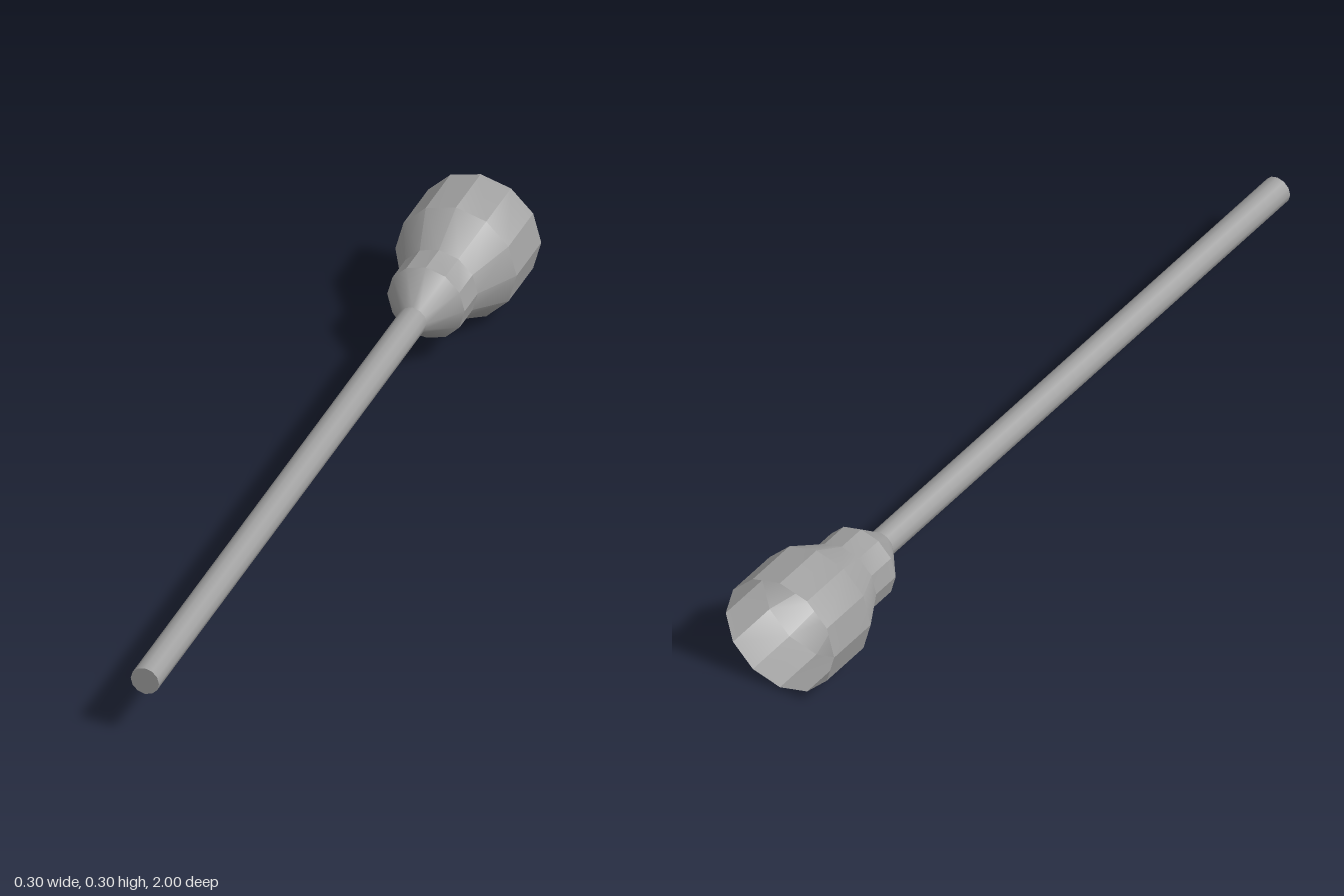
import * as THREE from 'three';
import { toCreasedNormals } from 'three/addons/utils/BufferGeometryUtils.js';

const SIDES = 12;
const AXIS_Y = 0.148;

export function createModel() {
  const group = new THREE.Group();
  const grey = new THREE.MeshStandardMaterial({ color: 0xa0a0a0, side: THREE.DoubleSide });
  grey.name = 'grey';

  // Long straight rod, running forward along z
  const rodBack = -0.595;
  const rodGeometry = new THREE.CylinderGeometry(0.0345, 0.0345, 1 - rodBack, SIDES);
  rodGeometry.rotateX(Math.PI / 2);
  const rod = new THREE.Mesh(rodGeometry, grey);
  rod.name = 'rod';
  rod.position.set(0, AXIS_Y, (1 + rodBack) / 2);
  group.add(rod);

  // Thin stepped bell, open at the back: [radius, z] from rim to rod
  const profile = [
    [0.148, -1],
    [0.148, -0.853],
    [0.0945, -0.752],
    [0.0945, -0.674],
    [0.0345, rodBack],
  ].map(([r, z]) => new THREE.Vector2(r, z));
  const bellGeometry = toCreasedNormals(new THREE.LatheGeometry(profile, SIDES), 0.48);
  bellGeometry.rotateX(Math.PI / 2);
  const bell = new THREE.Mesh(bellGeometry, grey);
  bell.name = 'bell';
  bell.position.y = AXIS_Y;
  group.add(bell);

  return group;
}
